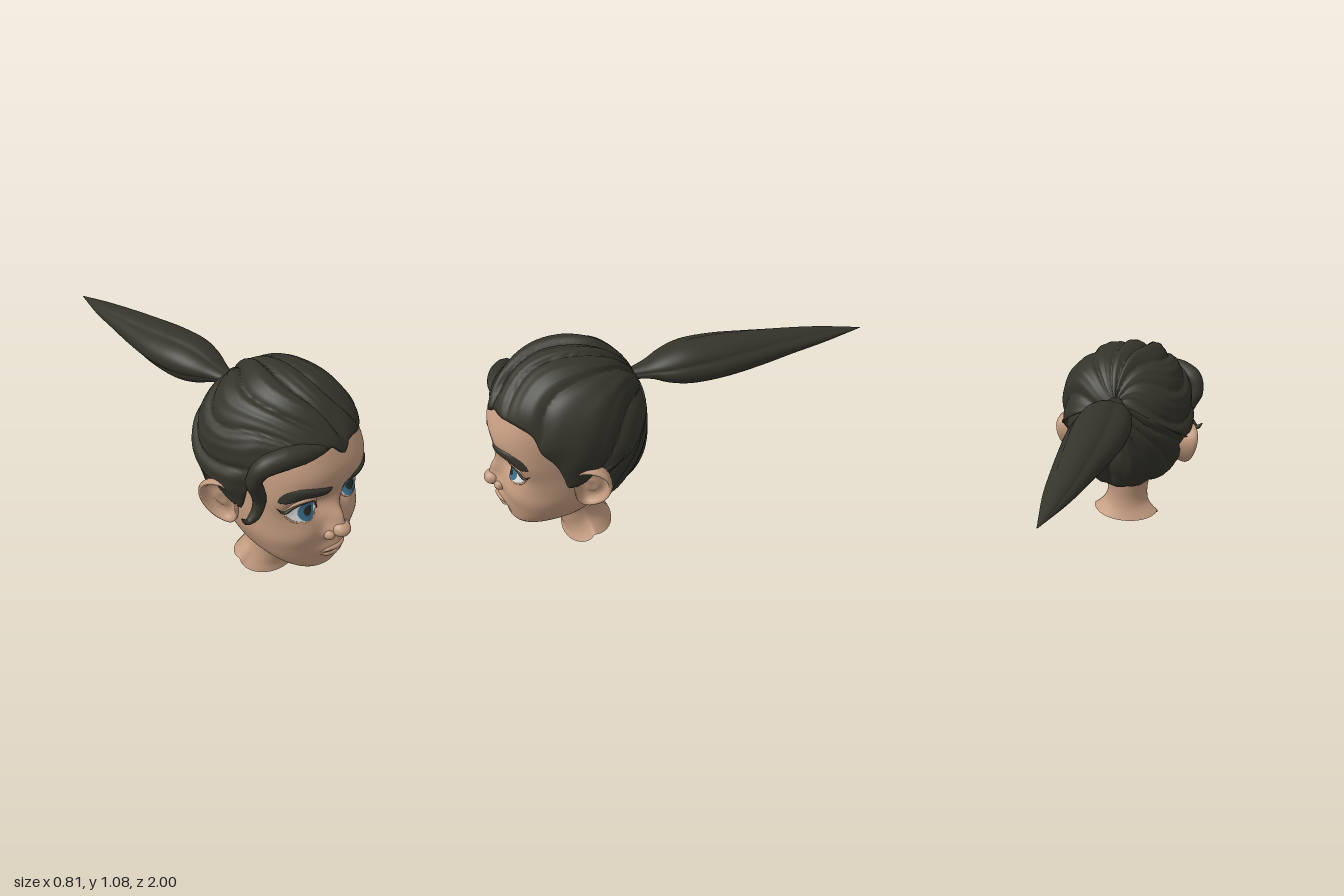
import * as THREE from 'three';

const V = (x, y, z) => new THREE.Vector3(x, y, z);
const mat = (name, color) => new THREE.MeshStandardMaterial({ name, color, side: THREE.DoubleSide });
const N = 2.6; // squareness of the head's cross-sections

// Surface through rows of points; every row is a closed ring
function loft(rows) {
  const n = rows[0].length, idx = [];
  for (let r = 0; r < rows.length - 1; r++) for (let i = 0; i < n; i++) {
    const j = (i + 1) % n, a = r * n + i, b = r * n + j, c = b + n, d = a + n;
    idx.push(a, b, d, b, c, d);
  }
  const g = new THREE.BufferGeometry().setFromPoints(rows.flat());
  g.setIndex(idx);
  g.computeVertexNormals();
  return g;
}
const ring = (n, f) => Array.from({ length: n }, (_, i) => f((i / n) * Math.PI * 2));
const range = (n, f) => Array.from({ length: n + 1 }, (_, i) => f(i / n));

// Tapered tube along a smooth path
function sweep(points, radii, steps = 32, sides = 12) {
  const path = new THREE.CatmullRomCurve3(points), fr = path.computeFrenetFrames(steps);
  return loft(range(steps, t => {
    const k = Math.round(t * steps), p = path.getPointAt(t);
    const f = t * (radii.length - 1), i = Math.min(Math.floor(f), radii.length - 2);
    const r = THREE.MathUtils.lerp(radii[i], radii[i + 1], f - i);
    return ring(sides, a => p.clone()
      .addScaledVector(fr.normals[k], r * Math.cos(a)).addScaledVector(fr.binormals[k], r * Math.sin(a)));
  }));
}
const ball = (x, y, z, rx, ry, rz) => new THREE.SphereGeometry(1, 24, 16).scale(rx, ry, rz).translate(x, y, z);

// Head sections: half width, front z, back z at each height
const headY = [.19, .2, .215, .25, .3, .36, .42, .5, .58, .66, .74, .82, .9, .97, 1.02, 1.035];
const headS = [
  .01, .83, .79, .09, .875, .68, .13, .895, .62, .185, .905, .56, .235, .905, .49, .268, .91, .43,
  .288, .915, .38, .295, .905, .32, .295, .895, .28, .295, .918, .25, .29, .935, .24, .275, .91, .25,
  .24, .86, .29, .18, .78, .36, .08, .68, .46, .01, .59, .55];
const interp = new THREE.CubicInterpolant(headY, headS, 3);
const section = y => { const [w, f, b] = interp.evaluate(y); return { w: Math.max(w, .005), f, b, c: (f + b) / 2 }; };

// Soft swellings and hollows of the face: x, y, spread x, spread y, height
const bumps = [
  [0, .58, .03, .08, .032], [0, .5, .036, .045, .04], [0, .448, .046, .034, .05], [.045, .428, .03, .026, .02],
  [0, .335, .09, .055, .038], [0, .222, .06, .025, .008],
  [.15, .59, .1, .07, -.025], [.085, .565, .042, .05, -.028], [.15, .57, .06, .045, .016], [.13, .68, .1, .03, .01],
  [.262, .615, .05, .08, .036], [.17, .45, .08, .06, .008]];
const relief = (x, y) => bumps.reduce((s, [bx, by, sx, sy, h]) =>
  s + h * Math.exp(-(((Math.abs(x) - bx) / sx) ** 2) - ((y - by) / sy) ** 2), 0);
const faceZ = (x, y) => {
  const { w, f, c } = section(y), q = Math.min(1, Math.abs(x) / w);
  return c + (f - c) * (1 - q ** N) ** (1 / N) + relief(x, y);
};

function headGeometry() {
  return loft(range(140, t => {
    const y = .19 + t * .845, { w, f, c } = section(y);
    return ring(128, u => {
      const a = u - .45 * Math.sin(u), s = Math.sin(a), k = Math.cos(a);
      const r = (Math.abs(s) ** N + Math.abs(k) ** N) ** (-1 / N), x = w * s * r;
      return V(x, y, c + (f - c) * k * r + relief(x, y) * THREE.MathUtils.smoothstep(k, 0, .3));
    });
  }));
}

// Neck: flares to an uneven hem below and blends into the skull above
function neckGeometry() {
  const neck = new THREE.CubicInterpolant([0, .08, .18, .32, .5, .75, 1], [
    .19, .655, .395, .158, .648, .41, .13, .655, .425, .118, .67, .435, .12, .68, .435, .145, .68, .425, .235, .66, .4], 3);
  return loft(range(32, t => {
    const [w, f, b] = neck.evaluate(t);
    return ring(48, a => {
      const c = Math.cos(a), hem = .08 - .075 * Math.sqrt(Math.max(c, 0)) - .025 * Math.max(-c, 0);
      return V(w * Math.sin(a), THREE.MathUtils.lerp(hem, .4, t), (f + b) / 2 + (f - b) / 2 * c);
    });
  }));
}

// Plate lying on the face, from a closed outline (counter-clockwise)
function plate(outline, rim, puff = 0) {
  const pts = new THREE.CatmullRomCurve3(outline.map(p => V(p[0], p[1], 0)), true, 'centripetal').getSpacedPoints(60).slice(0, 60);
  const mid = pts.reduce((s, p) => s.add(p), V(0, 0, 0)).divideScalar(pts.length);
  return loft(range(8, k => pts.map(p => {
    const q = mid.clone().lerp(p, 1 - k);
    return q.setZ(faceZ(q.x, q.y) + rim + puff * (1 - (1 - k) ** 6));
  })));
}
const disc = (x, y, r) => ring(16, a => [x + r * Math.cos(a), y + r * Math.sin(a)]);
const onFace = (list, off) => list.map(([x, y]) => V(x, y, faceZ(x, y) + off));

// Cupped ear: one outline repeated at several scales and depths
function earGeometry() {
  const outline = new THREE.CatmullRomCurve3([[.08, .06], [.072, -.01], [.06, -.085], [.03, -.12], [-.025, -.105],
    [-.068, -.055], [-.087, .025], [-.07, .085], [-.02, .118], [.045, .112]].map(p => V(0, p[1], p[0])), true);
  const pts = outline.getSpacedPoints(48).slice(0, 48), out = V(.85, -.15, .47).normalize();
  const rings = [[.55, -.09], [.82, -.045], [.97, -.012], [1, .004], [.97, .015], [.89, .016], [.8, .004],
    [.72, -.014], [.5, -.022], [.35, -.012], [.15, -.015], [0, -.015]];
  return loft(rings.map(([s, d]) => pts.map(p => {
    const u = p.z * s, v = p.y * s;
    return V(.34 - .53 * u + .2 * v, .53 + v, .545 + u).addScaledVector(out, d);
  })));
}

// Swept-back hair: broad locks run from the hairline to the tie at the back
function hairGeometry() {
  const C = V(0, .7, .53), root = V(0, .17, -.29).normalize();
  const half = [[.05, .868, .9], [.14, .865, .872], [.21, .855, .82], [.262, .82, .765], [.29, .75, .745], [.303, .68, .69],
    [.308, .62, .665], [.305, .53, .637], [.306, .535, .6], [.31, .57, .565], [.312, .58, .52], [.295, .46, .475],
    [.2, .35, .455], [.1, .322, .43]].map(p => V(...p));
  const line = new THREE.CatmullRomCurve3([V(0, .83, .914), ...half, V(0, .325, .32),
    ...half.slice().reverse().map(p => V(-p.x, p.y, p.z))], true, 'centripetal');
  const shell = d => (Math.abs(d.x / (.354 + .05 * Math.min(d.y, 0))) ** 2.2 + Math.abs(d.y / (d.y > 0 ? .378 : .43)) ** 2.2 +
    Math.abs(d.z / (d.z > 0 ? .385 : .336)) ** 2.2) ** (-1 / 2.2);
  const locks = 15, n = 240, rim = line.getSpacedPoints(n).slice(0, n).map(p => p.sub(C));
  const row = (v, scale) => rim.map((h, i) => {
    const d = h.clone().normalize(), ang = d.angleTo(root), s = i / n * Math.PI * 2;
    d.multiplyScalar(Math.sin((1 - v) * ang)).addScaledVector(root, Math.sin(v * ang)).normalize();
    const p = locks * (i / n + 1) + .5 + .35 * Math.sin(3 * s) + .55 * Math.sin(v * Math.PI) * (1 + Math.cos(s))
      + .2 * Math.sin(v * 7 + 2 * s);
    const f = (p % 1) ** 1.4, id = Math.floor(p) % locks;
    const wave = Math.sqrt(Math.sin(Math.PI * f)) - .62 + .3 * Math.sin(id * 4.7 + 1) * Math.sin(Math.PI * f)
      + .06 * Math.sin(f * 19);
    const fade = Math.min(1, .25 + v * 5) * Math.min(1, (1 - v) * 3);
    const r = THREE.MathUtils.lerp(h.length() * 1.01, shell(d), THREE.MathUtils.smoothstep(v, 0, .2));
    return d.multiplyScalar((r + .03 * wave * fade) * scale).add(C);
  });
  return loft([row(0, .6), row(0, .95), ...range(48, v => row(v, 1))]);
}

// Ponytail sections: z, bottom y, top y, half width
function ponytailGeometry() {
  const z = [-1, -.77, -.58, -.4, -.18, -.02, .08, .15, .25];
  const tail = new THREE.CubicInterpolant(z, [.889, .891, .002, .853, .928, .06, .827, .952, .092, .8, .97, .12,
    .783, .985, .146, .785, .983, .135, .81, .955, .105, .84, .925, .068, .85, .9, .03], 3);
  return loft(range(48, t => {
    const zz = .25 - 1.25 * t, [lo, hi, w] = tail.evaluate(zz);
    return ring(60, a => {
      const g = .93 + .14 * (Math.abs(Math.sin(2 * a + 1.6 * t + .4)) ** .6 - .4);
      return V(w * g * Math.sin(a) - .08 * w, (lo + hi) / 2 + (hi - lo) / 2 * g * Math.cos(a), zz);
    });
  }));
}

export function createModel() {
  const skin = mat('skin', 0xc39b7f), hair = mat('hair', 0x35342b), white = mat('eye white', 0xe6e6e6);
  const iris = mat('iris blue', 0x3d7497), dark = mat('pupil', 0x2f2f29);
  const model = new THREE.Group();
  const add = (parent, name, geometry, material) => {
    const m = new THREE.Mesh(geometry, material);
    m.name = name;
    parent.add(m);
  };
  add(model, 'head', headGeometry(), skin);
  add(model, 'neck', neckGeometry(), skin);
  add(model, 'hair', hairGeometry(), hair);
  add(model, 'ponytail', ponytailGeometry(), hair);
  add(model, 'noseTip', ball(0, .446, .953, .044, .036, .045), skin);
  const lip = (pts, radii) => sweep(onFace([...pts.map(([x, y]) => [-x, y]), ...pts.slice(0, -1).reverse()], -.004), radii);
  add(model, 'upperLip', lip([[.088, .321], [.045, .337], [0, .338]], [.002, .012, .015, .012, .002]), skin);
  add(model, 'lowerLip', lip([[.084, .319], [.045, .305], [0, .3]], [.002, .014, .019, .014, .002]), skin);

  // Loose curl on the right temple
  add(model, 'curl', sweep([V(-.02, .868, .885), V(-.14, .87, .865), V(-.25, .862, .82), V(-.33, .828, .775),
    V(-.35, .76, .75), V(-.322, .69, .745), V(-.305, .63, .745), V(-.325, .57, .745), V(-.365, .545, .74), V(-.395, .575, .735)],
    [.004, .024, .042, .048, .046, .037, .034, .03, .024, .003], 60), hair);

  // Paired features, mirrored across the face
  const eye = [[.235, .572], [.205, .605], [.15, .62], [.105, .603], [.08, .55], [.105, .528], [.15, .519], [.205, .535]];
  const brow = [[.058, .688], [.054, .648], [.1, .655], [.14, .66], [.2, .655], [.25, .638], [.268, .632],
    [.256, .68], [.23, .706], [.19, .716], [.1, .704]];
  const upper = [[.076, .55], [.102, .604], [.15, .623], [.205, .608], [.24, .582]];
  const lower = [[.078, .55], [.104, .525], [.15, .515], [.206, .531], [.238, .572]];
  for (const [side, s] of [['left', 1], ['right', -1]]) {
    const g = new THREE.Group();
    g.name = side + 'Features';
    g.scale.x = s;
    add(g, 'ear', earGeometry(), skin);
    add(g, 'nostrilWing', ball(.05, .425, .93, .026, .025, .03), skin);
    add(g, 'eyeWhite', plate(eye, .003), white);
    add(g, 'iris', plate(disc(.138, .567, .047), .006), iris);
    add(g, 'pupil', plate(disc(.138, .57, .024), .009), dark);
    add(g, 'upperLid', sweep(onFace(upper.map(([x, y]) => [x, y + .009]), .001), [.004, .009, .01, .009, .004]), skin);
    add(g, 'lowerLid', sweep(onFace(lower, -.001), [.003, .005, .005, .005, .003]), skin);
    add(g, 'lashes', sweep(onFace([...upper, [.264, .603]], .008), [.002, .004, .006, .007, .008, .001]), hair);
    add(g, 'eyebrow', plate(brow, -.002, .014), hair);
    model.add(g);
  }
  return model;
}
